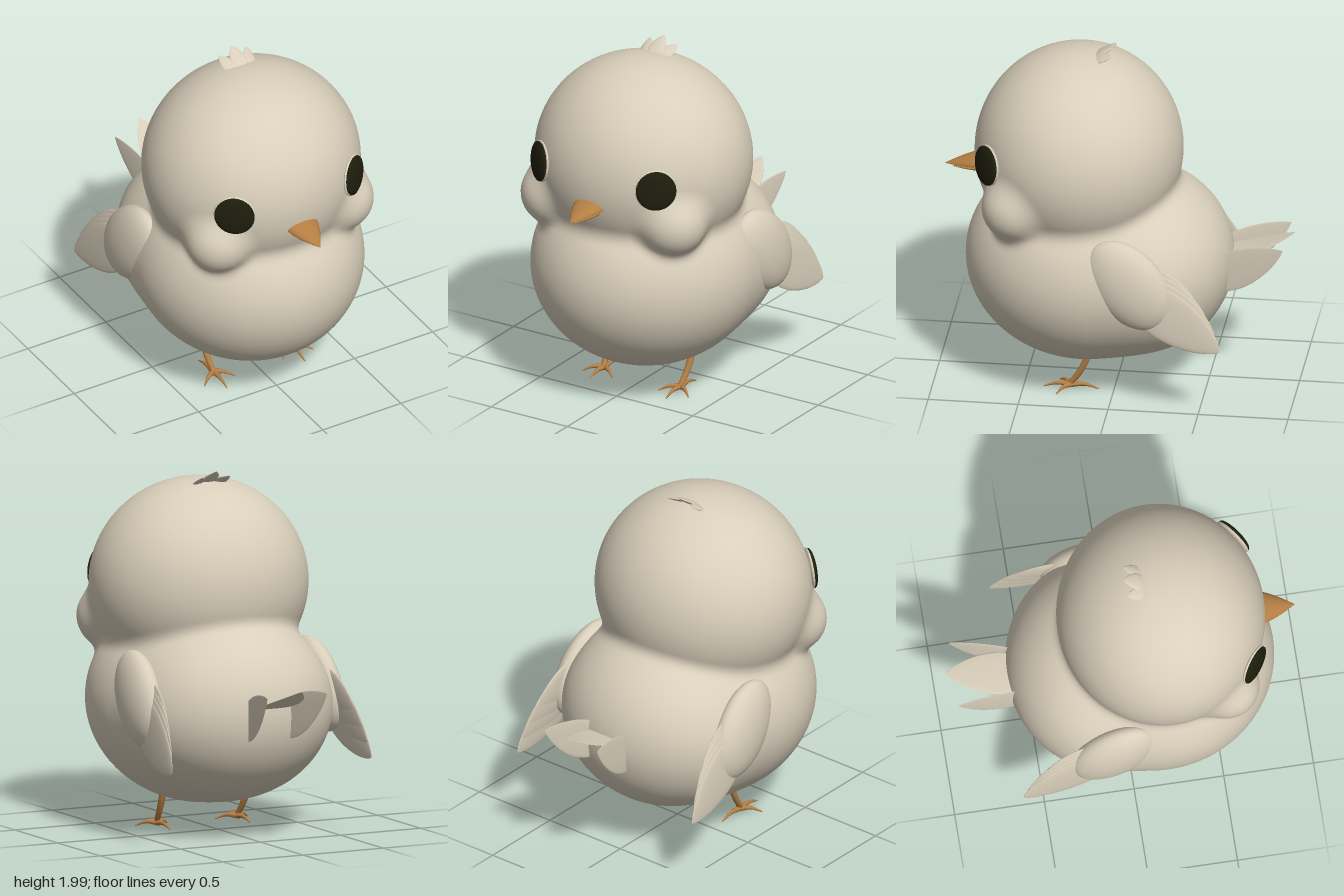
import * as THREE from 'three';

const V = (x, y, z) => new THREE.Vector3(x, y, z);
const mat = (name, color) => Object.assign(new THREE.MeshStandardMaterial({ color }), { name });

// Rounded masses of the body: centre, radii, blend width
const MASSES = [
  [[0, 0.72, 0.18], [0.64, 0.58, 0.67], 0],
  [[0, 0.71, -0.1], [0.6, 0.52, 0.535], 0.07],
  [[0, 1.36, 0.225], [0.615, 0.585, 0.575], 0.06],
  [[0.39, 1.155, 0.53], [0.185, 0.185, 0.185], 0.07],
  [[-0.39, 1.155, 0.53], [0.185, 0.185, 0.185], 0.07],
];

// Approximate distance to the blended masses
function field(p) {
  let d = Infinity;
  for (const [c, r, k] of MASSES) {
    const x = (p.x - c[0]) / r[0], y = (p.y - c[1]) / r[1], z = (p.z - c[2]) / r[2];
    const k0 = Math.hypot(x, y, z), k1 = Math.hypot(x / r[0], y / r[1], z / r[2]) || 1;
    const e = k0 * (k0 - 1) / k1;
    if (d === Infinity) { d = e; continue; }
    const h = Math.max(k - Math.abs(d - e), 0) / k;
    d = Math.min(d, e) - h * h * k / 4;
  }
  return d;
}

// Shrink a sphere onto the blended masses, with smooth normals from the field
function bodyGeometry() {
  const g = new THREE.SphereGeometry(1, 160, 120);
  const pos = g.attributes.position, nor = g.attributes.normal;
  const origin = V(0, 1.08, 0.15), dir = V(0, 0, 0), p = V(0, 0, 0), q = V(0, 0, 0), n = V(0, 0, 0);
  const e = 0.002;
  for (let i = 0; i < pos.count; i++) {
    dir.fromBufferAttribute(pos, i).normalize();
    let t = 1.4;
    for (let j = 0; j < 70; j++) {
      const d = field(p.copy(origin).addScaledVector(dir, t));
      if (Math.abs(d) < 0.0003) break;
      t -= d * 0.8;
    }
    pos.setXYZ(i, p.x, p.y, p.z);
    for (const a of ['x', 'y', 'z']) {
      q.copy(p); q[a] += e;
      const hi = field(q);
      q[a] -= 2 * e;
      n[a] = hi - field(q);
    }
    n.normalize();
    nor.setXYZ(i, n.x, n.y, n.z);
  }
  return g;
}

// Move every vertex of a geometry by a rule
function reshape(g, rule) {
  const pos = g.attributes.position, v = V(0, 0, 0);
  for (let i = 0; i < pos.count; i++) {
    rule(v.fromBufferAttribute(pos, i));
    pos.setXYZ(i, v.x, v.y, v.z);
  }
  g.computeVertexNormals();
  return g;
}

// Thin pointed feather from base to tip
function feather(name, material, base, tip, widthHint, halfWidth, thick, bend = 0, point = 0.35) {
  const len = base.distanceTo(tip), tm = 0.5 / (1 + point);
  const norm = 1 / (2 * Math.sqrt(tm * (1 - tm)) * Math.pow(1 - tm, point));
  const g = reshape(new THREE.SphereGeometry(1, 24, 24), v => {
    const t = (v.y + 1) / 2, f = norm * Math.pow(Math.max(1 - t, 0), point);
    v.set(v.x * f * halfWidth, t * len, v.z * f * thick + bend * 4 * t * (1 - t));
  });
  const Y = tip.clone().sub(base).normalize();
  const X = widthHint.clone().addScaledVector(Y, -widthHint.dot(Y)).normalize();
  const Z = X.clone().cross(Y);
  g.applyMatrix4(new THREE.Matrix4().makeBasis(X, Y, Z).setPosition(base));
  return part(name, g, material);
}

// Tube that narrows from r0 to r1
function taperTube(points, r0, r1) {
  const curve = new THREE.CatmullRomCurve3(points), seg = 12, sides = 10;
  const g = new THREE.TubeGeometry(curve, seg, 1, sides);
  let i = 0;
  return reshape(g, v => {
    const t = Math.floor(i++ / (sides + 1)) / seg, c = curve.getPointAt(t);
    v.sub(c).multiplyScalar(r0 + (r1 - r0) * t).add(c);
  });
}

// Half of the beak: rounded on one side, nearly flat on the other
function beakHalf(z0, z1, y0, y1, w, up, down) {
  const g = new THREE.CylinderGeometry(1, 1, 1, 28, 12).rotateX(Math.PI / 2);
  return reshape(g, v => {
    const t = v.z + 0.5, s = Math.max(1 - Math.pow(t, 1.6), 0.01);
    v.set(v.x * w * s, y0 + (y1 - y0) * t + v.y * (v.y > 0 ? up : down) * s, z0 + (z1 - z0) * t);
  });
}

function part(name, geometry, material) {
  const m = new THREE.Mesh(geometry, material);
  m.name = name;
  return m;
}

export function createModel() {
  const model = new THREE.Group();
  model.name = 'chick';
  const down = mat('cream down', 0xd8ceba);
  const horn = mat('orange brown horn', 0xb47e43);
  const dark = mat('dark eye', 0x1e1e0e);

  model.add(part('body', bodyGeometry(), down));

  // Beak
  model.add(part('upperBeak', beakHalf(0.73, 0.972, 1.252, 1.216, 0.105, 0.052, 0.012), horn));
  model.add(part('lowerBeak', beakHalf(0.73, 0.93, 1.225, 1.2, 0.08, 0.008, 0.026), horn));

  // Crest and middle tail feather
  model.add(feather('crestMiddle', down, V(0, 1.91, 0.15), V(0, 2.0, 0.015), V(1, 0, 0), 0.05, 0.012));
  model.add(feather('tailMiddle', down, V(0, 0.74, -0.48), V(0, 0.91, -0.976), V(1, 0, 0), 0.125, 0.006, -0.02));

  for (const s of [1, -1]) {
    const side = s > 0 ? 'left' : 'right';
    const P = (x, y, z) => V(s * x, y, z);

    // Eye: dark dome in a pale rim
    const normal = P(0.6, 0.08, 0.79).normalize();
    const turn = new THREE.Quaternion().setFromUnitVectors(V(0, 0, 1), normal);
    const disc = (name, r, thick, off, m) => {
      const e = part(name, new THREE.SphereGeometry(1, 40, 24).scale(r, r, thick), m);
      e.quaternion.copy(turn);
      e.position.copy(P(0.378, 1.397, 0.685)).addScaledVector(normal, off);
      model.add(e);
    };
    disc(side + 'EyeRim', 0.117, 0.02, 0.0, down);
    disc(side + 'Eye', 0.112, 0.024, 0.012, dark);

    // Crest and tail side feathers
    model.add(feather(side + 'Crest', down, P(0.05, 1.915, 0.14), P(0.088, 1.968, 0.025),
      V(1, -s * 0.25, 0), 0.038, 0.01));
    model.add(feather(side + 'TailFeather', down, P(0.11, 0.63, -0.49), P(0.186, 0.88, -0.93),
      V(0, 1, 0), 0.11, 0.006));

    // Wing: rounded shoulder over fanned flight feathers
    const wing = new THREE.Group();
    wing.name = side + 'Wing';
    const shoulder = part('shoulder', new THREE.SphereGeometry(1, 40, 28).scale(0.1, 0.29, 0.2), down);
    shoulder.position.set(s * 0.555, 0.795, -0.12);
    shoulder.rotation.set(0.69, 0, s * 0.06);
    wing.add(shoulder);
    const tips = [[0.45, -0.635], [0.535, -0.605], [0.61, -0.565], [0.68, -0.515]];
    tips.forEach(([y, z], i) => {
      wing.add(feather('flightFeather' + (i + 1), down,
        P(0.575 - i * 0.012, 0.77 + i * 0.03, -0.13), P(0.622 - i * 0.012, y, z),
        V(0, 0.64, -0.77), 0.145 - i * 0.012, 0.016, 0, 0.25));
    });
    model.add(wing);

    // Leg and toes
    const leg = new THREE.Group();
    leg.name = side + 'Leg';
    leg.add(part('shank', taperTube([P(0.265, 0.27, 0.13), P(0.265, 0.18, 0.155), P(0.26, 0.1, 0.195),
      P(0.25, 0.025, 0.25)], 0.021, 0.015), horn));
    const toes = { middleToe: [0.25, 0.39], outerToe: [0.35, 0.31], innerToe: [0.15, 0.31], backToe: [0.25, 0.08] };
    for (const [name, [x, z]] of Object.entries(toes)) {
      const mid = P((0.25 + x) / 2, 0.032, (0.235 + z) / 2);
      leg.add(part(name, taperTube([P(0.25, 0.028, 0.235), mid, P(x, 0.008, z)], 0.017, 0.003), horn));
    }
    model.add(leg);
  }
  return model;
}
